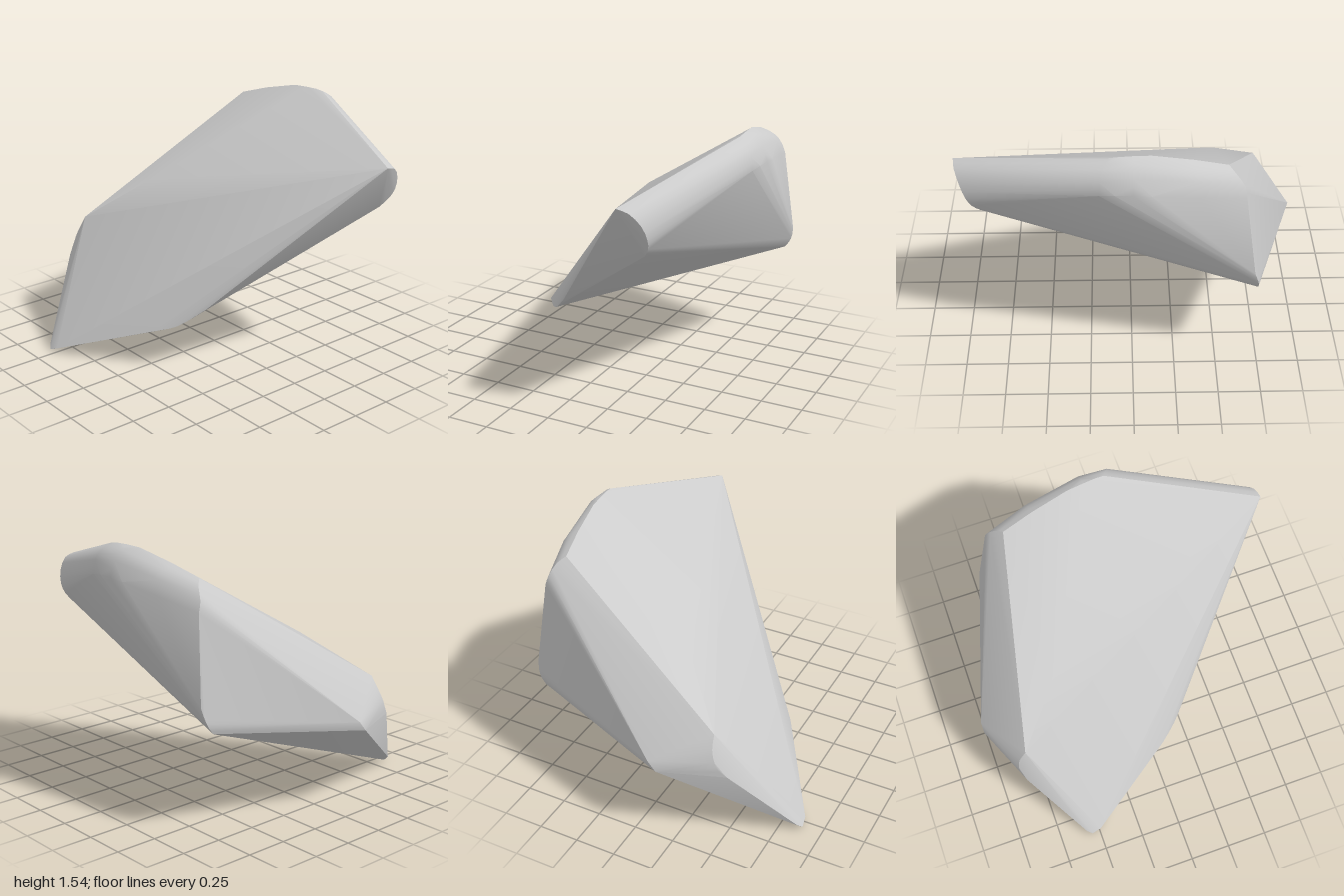
import * as THREE from 'three';
import { ConvexGeometry } from 'three/addons/geometries/ConvexGeometry.js';
import { toCreasedNormals } from 'three/addons/utils/BufferGeometryUtils.js';

const toPoints = (list) => list.map(([x, y, z]) => new THREE.Vector3(x, y, z));

// Sample a smooth curve through a few points, for the rounded edges
const rounded = (list, steps) =>
  new THREE.CatmullRomCurve3(toPoints(list), false, 'centripetal').getPoints(steps);

export function createModel() {
  const group = new THREE.Group();
  group.name = 'rock';

  // Rounded end on the left-facing tip
  const tip = rounded([
    [1, 1.31, -0.44], [0.99, 1.29, -0.51], [0.96, 1.22, -0.57],
    [0.93, 1.14, -0.59], [0.9, 1.08, -0.58], [0.86, 1.02, -0.54],
  ], 10);

  // Rolled top ridge: cross-sections running from the front edge to the back wall
  const ridge = [
    [[0.13, 1.535, -0.77], [0.16, 1.5, -0.82], [0.18, 1.44, -0.855], [0.18, 1.36, -0.868]],
    [[0, 1.54, -0.76], [0, 1.52, -0.805], [0, 1.46, -0.855], [0, 1.37, -0.885]],
    [[-0.33, 1.48, -0.715], [-0.34, 1.45, -0.77], [-0.35, 1.4, -0.81], [-0.35, 1.32, -0.84]],
    [[-0.52, 1.42, -0.68], [-0.56, 1.385, -0.72], [-0.61, 1.32, -0.75], [-0.62, 1.26, -0.77]],
  ].flatMap((section) => rounded(section, 6));
  // Fill-in points along the crown and the back bulge
  const crown = toPoints([
    [0.08, 1.54, -0.768], [-0.1, 1.535, -0.75], [0.1, 1.37, -0.88], [-0.1, 1.36, -0.88],
  ]);

  // Low rear corner
  const rearCorner = rounded([
    [-0.72, 0.61, -0.76], [-0.72, 0.65, -0.79], [-0.71, 0.7, -0.81], [-0.69, 0.76, -0.82],
  ], 6);

  // Side corner and the rounded shoulder in front of it
  const side = toPoints([[-1, 0.49, 0.15], [-1, 0.55, 0.1]]);
  const shoulder = rounded([
    [-0.84, 0.47, 0.52], [-0.86, 0.51, 0.48], [-0.865, 0.57, 0.455],
    [-0.845, 0.64, 0.43], [-0.8, 0.715, 0.42],
  ], 8);
  const facePeak = toPoints([[-0.5, 0.98, 0.11]]);

  // Foot that touches the ground
  const foot = toPoints([
    [-0.55, 0, 0.86], [-0.55, 0.005, 0.88], [-0.49, 0.03, 0.87], [-0.58, 0.03, 0.86],
  ]);

  // Rounded lower edge
  const lowerEdge = rounded([[0.06, 0.245, 0.52], [0.17, 0.29, 0.43], [0.29, 0.405, 0.305]], 6);

  const geometry = toCreasedNormals(
    new ConvexGeometry([
      ...tip, ...ridge, ...crown, ...rearCorner, ...side,
      ...shoulder, ...facePeak, ...foot, ...lowerEdge,
    ]),
    THREE.MathUtils.degToRad(28),
  );
  const body = new THREE.Mesh(geometry, new THREE.MeshStandardMaterial({ color: 0xcccccc }));
  body.name = 'rockBody';
  group.add(body);
  return group;
}
